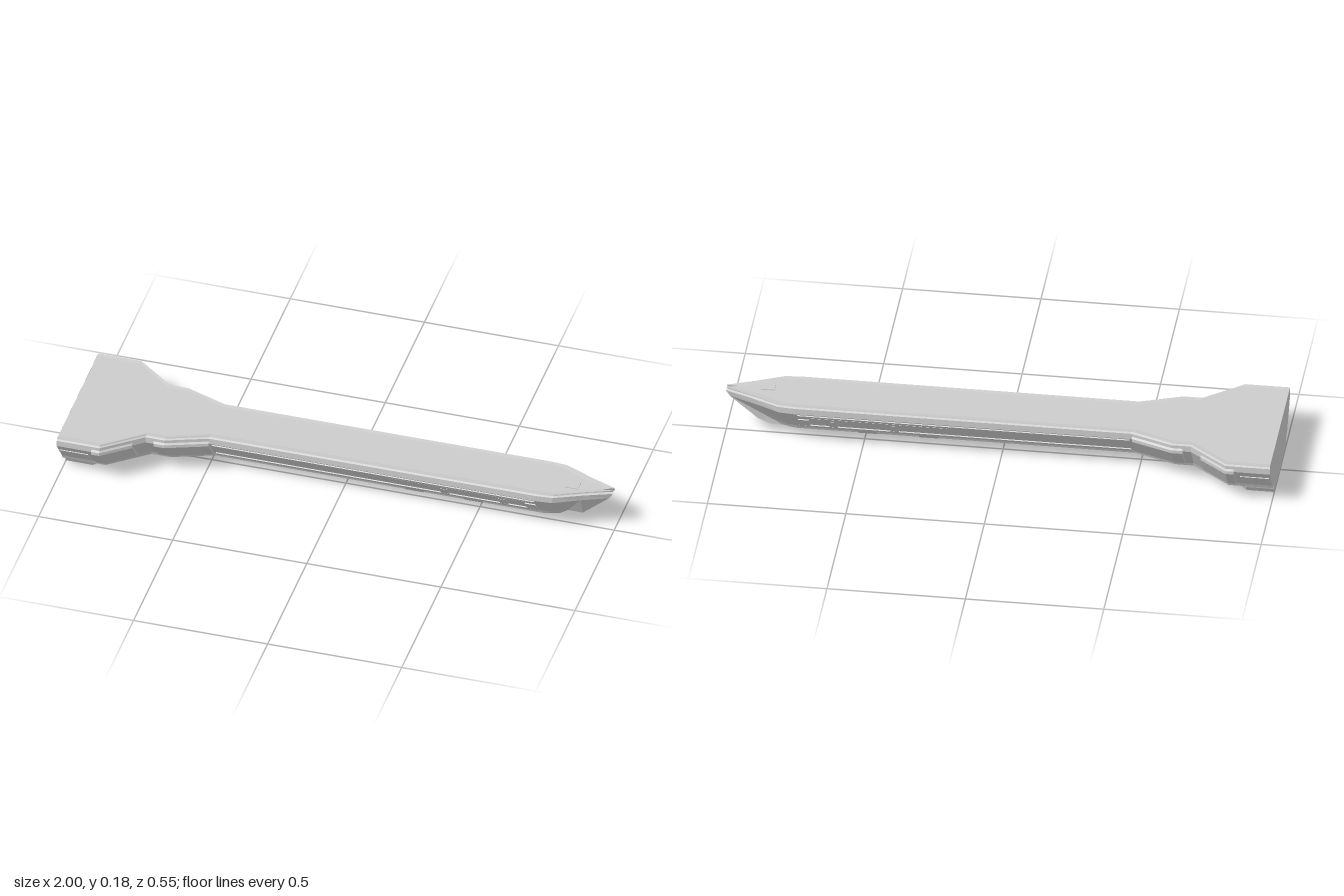
import * as THREE from 'three';

const material = new THREE.MeshStandardMaterial({ color: 0xcccccc, flatShading: true });

// Half-width of the hull along its length: [x, half-width]
const PLAN = [[-1, 0.27], [-0.84, 0.27], [-0.7, 0.16], [-0.63, 0.16], [-0.48, 0.105],
  [0.74, 0.105], [0.8, 0.1], [0.9, 0.055], [1, 0.015]];

// Slope of the lower flank, between y = 0.15 and y = 0.06
const FLANK = { inset: 0.068, top: 0.15, drop: 0.09 };

// Loft a closed body: stations run along x, levels run from top to bottom.
// Each level is [inset, y, endX]; stations past bowX are squeezed to finish at endX.
function loft(name, stations, levels, bowX) {
  const lastX = stations[stations.length - 1][0];
  const rings = stations.map(([x, w]) => {
    const side = levels.map(([inset, y, endX = lastX]) => [
      x <= bowX ? x : bowX + (x - bowX) / (lastX - bowX) * (endX - bowX),
      y, Math.max(w - inset, 0.008)]);
    return [...side, ...side.map(([px, y, z]) => [px, y, -z]).reverse()];
  });
  const pos = [];
  const tri = (...corners) => corners.forEach(c => pos.push(...c));
  const n = levels.length * 2;
  for (let j = 0; j < rings.length - 1; j++) {
    for (let k = 0; k < n; k++) {
      const m = (k + 1) % n, A = rings[j], B = rings[j + 1];
      tri(A[k], A[m], B[m]);
      tri(A[k], B[m], B[k]);
    }
  }
  // End caps
  const rear = rings[0], bow = rings[rings.length - 1];
  for (let k = 1; k < n - 1; k++) {
    tri(rear[0], rear[k + 1], rear[k]);
    tri(bow[0], bow[k], bow[k + 1]);
  }
  const geometry = new THREE.BufferGeometry();
  geometry.setAttribute('position', new THREE.Float32BufferAttribute(pos, 3));
  geometry.computeVertexNormals();
  const mesh = new THREE.Mesh(geometry, material);
  mesh.name = name;
  return mesh;
}

function halfWidth(x) {
  const i = Math.max(1, PLAN.findIndex(p => p[0] >= x));
  const [a, b] = [PLAN[i - 1], PLAN[i]];
  return THREE.MathUtils.lerp(a[1], b[1], (x - a[0]) / (b[0] - a[0]));
}

// Thin plate lying on both sloping flanks
function flankPlates(name, x0, x1, y0, y1, thickness = 0.008) {
  const group = new THREE.Group();
  group.name = name;
  const angle = Math.atan2(FLANK.inset, FLANK.drop);
  const y = (y0 + y1) / 2, x = (x0 + x1) / 2;
  const z = halfWidth(x) - FLANK.inset * (FLANK.top - y) / FLANK.drop;
  const geometry = new THREE.BoxGeometry(x1 - x0, (y1 - y0) / Math.cos(angle), thickness);
  for (const s of [1, -1]) {
    const plate = new THREE.Mesh(geometry, material);
    plate.position.set(x, y, s * z);
    plate.rotation.x = s * angle;
    group.add(plate);
  }
  return group;
}

export function createModel() {
  const model = new THREE.Group();
  model.name = 'ship';

  // Hull with flat deck, thin rim, sloping flanks and raked bow
  model.add(loft('hull', PLAN, [
    [0.022, 0.18, 0.96], [0.008, 0.182, 1], [0.006, 0.177, 0.995], [0, 0.173, 1],
    [0, 0.15, 0.985], [FLANK.inset, 0.06, 0.885], [0.075, 0.045, 0.85], [0.085, 0.04, 0.835],
  ], 0.74));

  // Lower stern block with a chamfered front
  model.add(loft('sternKeel', [[-1, 0.15], [-0.9, 0.15], [-0.82, 0.05]],
    [[-0.018, 0.045, -0.78], [-0.012, 0.02, -0.79], [0, 0, -0.83]], -0.9));

  // Raised armour around the two stern flares
  for (const xs of [[-0.87, -0.84, -0.74], [-0.67, -0.63, -0.48]]) {
    const stations = xs.map(x => [x, halfWidth(x)]);
    model.add(loft('flareArmour', stations,
      [[0.004, 0.165], [-0.006, 0.155], [-0.006, 0.143], [0.056, 0.065], [0.075, 0.055]], 1));
  }

  // Flank rails, bars and panels
  model.add(flankPlates('upperRail', -0.47, 0.73, 0.134, 0.146));
  model.add(flankPlates('lowerRail', -0.47, 0.73, 0.062, 0.074));
  model.add(flankPlates('gallery', 0.19, 0.69, 0.11, 0.13, 0.006));
  for (const [x0, x1] of [[0.37, 0.4], [0.59, 0.62], [0.69, 0.73]]) {
    model.add(flankPlates('galleryBar', x0, x1, 0.075, 0.115));
  }
  for (const [x0, x1] of [[0.23, 0.3], [0.45, 0.52]]) {
    model.add(flankPlates('lowerHatch', x0, x1, 0.045, 0.062));
  }
  model.add(flankPlates('sternPanel', -0.995, -0.89, 0.075, 0.12, 0.006));

  // Small hatch on the bow deck
  const hatch = new THREE.Mesh(new THREE.BoxGeometry(0.05, 0.004, 0.04), material);
  hatch.name = 'bowHatch';
  hatch.position.set(0.85, 0.181, 0.015);
  model.add(hatch);

  return model;
}
